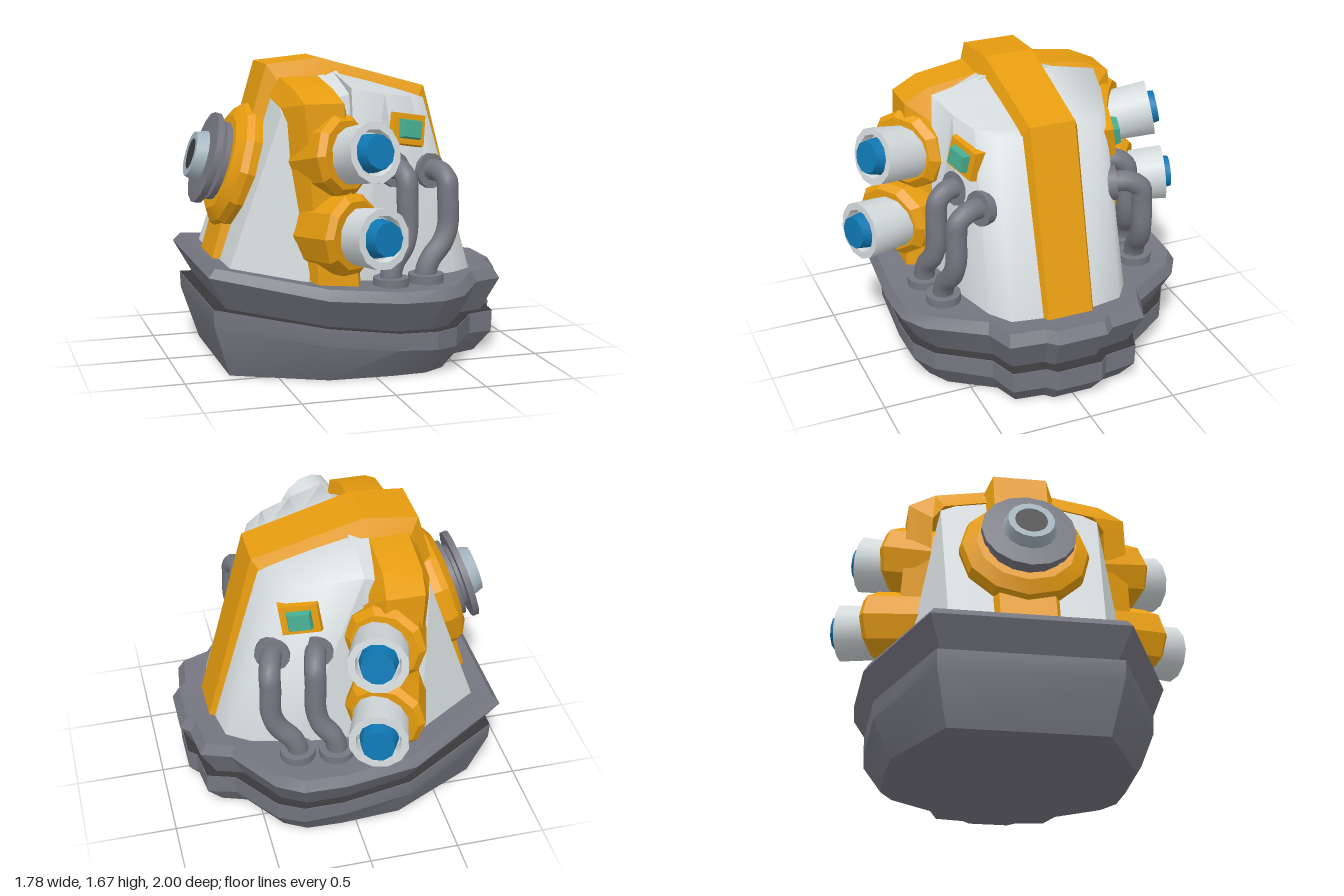
import * as THREE from 'three';
import { toCreasedNormals } from 'three/addons/utils/BufferGeometryUtils.js';
import { ConvexGeometry } from 'three/addons/geometries/ConvexGeometry.js';

const mat = (name, color) => {
  const m = new THREE.MeshStandardMaterial({ color });
  m.name = name;
  return m;
};
const Y = new THREE.Vector3(0, 1, 0);

export function createModel() {
  const root = new THREE.Group();
  root.name = 'turretPod';
  const orange = mat('orange paint', 0xe69c0f);
  const white = mat('pale grey plate', 0xd4dadc);
  const grey = mat('dark grey metal', 0x767681);
  const blue = mat('blue lens', 0x0f78b4);
  const green = mat('green glass', 0x46ad90);
  const steel = mat('blue grey steel', 0xa3b3bd);
  const dark = mat('dark recess', 0x3a3a3c);

  const add = (name, geo, material, parent = root) => {
    const m = new THREE.Mesh(geo, material);
    m.name = name;
    parent.add(m);
    return m;
  };
  // group whose local +y points along dir
  const aim = (name, pos, dir) => {
    const g = new THREE.Group();
    g.name = name;
    g.position.set(...pos);
    g.quaternion.setFromUnitVectors(Y, new THREE.Vector3(...dir).normalize());
    root.add(g);
    return g;
  };
  const lathe = (pts, sides, crease = 0.75) =>
    toCreasedNormals(new THREE.LatheGeometry(pts.map(p => new THREE.Vector2(...p)), sides), crease);

  // skin a row of rings; end caps join each ring's mirrored halves
  const loft = (rings, crease = 0.3) => {
    const n = rings[0].length, last = (rings.length - 1) * n, idx = [], v = rings.flat();
    const quad = (a, b, c, d) => idx.push(a, b, c, a, c, d);
    for (let r = 0; r < last; r += n)
      for (let i = 0; i < n; i++) {
        const j = (i + 1) % n;
        quad(r + i, r + j, r + n + j, r + n + i);
      }
    for (let i = 0; i < n / 2 - 1; i++) {
      quad(i + 1, i, n - 1 - i, n - 2 - i);
      quad(last + i, last + i + 1, last + n - 2 - i, last + n - 1 - i);
    }
    // make the faces point outward
    let vol = 0;
    const P = v.map(p => new THREE.Vector3(...p));
    for (let i = 0; i < idx.length; i += 3)
      vol += P[idx[i]].dot(P[idx[i + 1]].clone().cross(P[idx[i + 2]]));
    if (vol < 0) idx.reverse();
    const g = new THREE.BufferGeometry();
    g.setAttribute('position', new THREE.Float32BufferAttribute(v.flat(), 3));
    g.setIndex(idx);
    return toCreasedNormals(g, crease);
  };
  const mirrorZ = half => [...half, ...half.slice().reverse().map(([x, y, z]) => [x, y, -z])];

  // hull: one plan outline, scaled and set on sloping levels
  const outline = [[-0.868, 0.515], [-0.3, 0.81], [0.1, 0.835], [0.33, 0.825], [0.47, 0.74],
    [0.66, 0.45], [0.82, 0.39], [0.845, 0.19], [0.893, 0.14]];
  const slope = (x, ys) => {
    const xs = [-0.868, -0.3, 0.1, 0.893];
    const i = x < xs[1] ? 0 : x < xs[2] ? 1 : 2;
    return THREE.MathUtils.mapLinear(x, xs[i], xs[i + 1], ys[i], ys[i + 1]);
  };
  const level = (sx, sz, ys) => mirrorZ(outline.map(([x, z]) => [x * sx, slope(x, ys), z * sz]));
  add('lowerHull', loft([
    level(0.855, 0.81, [0, 0, 0, 0]),
    level(0.96, 0.93, [0.29, 0.21, 0.165, 0.11]),
    level(0.965, 0.935, [0.383, 0.308, 0.258, 0.233]),
  ], 0.43), grey);
  add('hullGap', loft([
    level(0.96, 0.93, [0.381, 0.306, 0.256, 0.231]),
    level(0.96, 0.93, [0.387, 0.312, 0.262, 0.237]),
  ]), dark);
  add('upperHull', loft([
    level(0.88, 0.87, [0.375, 0.29, 0.245, 0.225]),
    level(1, 1.01, [0.565, 0.47, 0.435, 0.427]),
    level(0.955, 0.97, [0.61, 0.525, 0.49, 0.49]),
    level(0.88, 0.88, [0.59, 0.515, 0.485, 0.48]),
  ], 0.43), grey);

  // rear body with flat slanted plates
  const rear = [[-0.77, 0.48, 0.41], [-0.45, 1.4, 0.44], [-0.42, 1.54, 0.16], [-0.07, 1.6, 0.16],
    [-0.05, 1.5, 0.43], [0, 0.45, 0.48], [-0.38, 0.45, 0.61]];
  add('rearBody', toCreasedNormals(new ConvexGeometry(
    mirrorZ(rear).map(p => new THREE.Vector3(...p))), 0.2), white);

  // rounded front body
  add('frontBody', loft([
    mirrorZ([[-0.04, 0.45, 0.52], [0.3, 0.45, 0.475], [0.55, 0.45, 0.405], [0.67, 0.45, 0.32], [0.7, 0.45, 0.15]]),
    mirrorZ([[-0.08, 1.53, 0.48], [0.12, 1.49, 0.435], [0.29, 1.465, 0.375], [0.39, 1.45, 0.29], [0.42, 1.44, 0.15]]),
    mirrorZ([[-0.09, 1.59, 0.18], [0.12, 1.535, 0.18], [0.29, 1.485, 0.18], [0.37, 1.46, 0.16], [0.4, 1.45, 0.1]]),
  ], 1.3), white);

  // centre band: outer x, y, half width, then inner x, y, half width
  add('centreBand', loft([
    [-0.8, 0.5, 0.15, -0.72, 0.48, 0.2],
    [-0.46, 1.64, 0.15, -0.4, 1.54, 0.2],
    [-0.16, 1.67, 0.14, -0.15, 1.58, 0.19],
    [0.45, 1.5, 0.128, 0.4, 1.43, 0.168],
    [0.73, 0.45, 0.128, 0.66, 0.45, 0.168],
  ].map(([x, y, w, u, v, b]) => [[u, v, b], [x, y, w], [x, y, -w], [u, v, -b]])), orange);

  // cross rib: outer y, z, inner y, z, left x, right x
  const rib = [[1.6, 0, 1.5, 0, -0.46, -0.12], [1.53, 0.465, 1.43, 0.42, -0.45, -0.12],
    [1.465, 0.61, 1.36, 0.48, -0.43, -0.1], [0.47, 0.66, 0.47, 0.5, -0.37, -0.03]];
  const ribRing = ([y, z, v, w, l, r], s) =>
    [[l, v, w * s], [l + 0.06, y, z * s], [r - 0.06, y, z * s], [r, v, w * s]];
  add('crossRib', loft([
    ...rib.slice(1).reverse().map(p => ribRing(p, -1)), ...rib.map(p => ribRing(p, 1)),
  ]), orange);

  // rear thruster on the sloping back
  const thruster = aim('rearThruster', [-0.625, 1.08, 0], [-0.957, 0.289, 0]);
  add('thrusterMount', lathe([[0.34, -0.1], [0.355, -0.01], [0.34, 0.03], [0.27, 0.07], [0, 0.07]], 12, 0.3), orange, thruster);
  add('thrusterDisc', lathe([[0.22, 0.05], [0.22, 0.1], [0.18, 0.11], [0.18, 0.13], [0.255, 0.13],
    [0.255, 0.165], [0.15, 0.175], [0, 0.175]], 16), grey, thruster);
  add('thrusterNozzle', lathe([[0.15, 0.16], [0.125, 0.24], [0.088, 0.24], [0.086, 0.22]], 16), steel, thruster);
  add('thrusterBore', new THREE.CylinderGeometry(0.088, 0.088, 0.02, 16).translate(0, 0.226, 0), dark, thruster);

  const pipes = [
    [[0.16, 1.075, 0.4], [0.19, 1.085, 0.5], [0.205, 1.04, 0.56], [0.205, 0.95, 0.572], [0.205, 0.78, 0.575],
      [0.18, 0.69, 0.59], [0.12, 0.61, 0.61], [0.1, 0.54, 0.615], [0.1, 0.47, 0.615]],
    [[0.38, 1.05, 0.34], [0.425, 1.065, 0.46], [0.445, 1.02, 0.535], [0.445, 0.95, 0.545], [0.445, 0.78, 0.55],
      [0.41, 0.69, 0.56], [0.34, 0.61, 0.575], [0.31, 0.54, 0.58], [0.31, 0.47, 0.58]],
  ];
  // tapered block, used for the window frame and glass
  const block = (w, h, d, taper) => {
    const g = new THREE.BoxGeometry(w, h, d), p = g.attributes.position;
    for (let i = 0; i < p.count; i++)
      if (p.getY(i) > 0) p.setXYZ(i, p.getX(i) * taper, p.getY(i), p.getZ(i) * taper);
    return toCreasedNormals(g, 0.2);
  };

  for (const s of [1, -1]) {
    const side = s > 0 ? 'left' : 'right';

    // paired guns, each in a slanted socket
    for (const [name, pos, dir] of [
      ['UpperGun', [-0.06, 1.235, 0.835 * s], [0.32, 0.2, 0.92 * s]],
      ['LowerGun', [-0.045, 0.805, 0.935 * s], [0.32, 0.09, 0.94 * s]],
    ]) {
      const gun = aim(side + name, pos, dir);
      const socket = new THREE.LatheGeometry([[0.21, -0.52], [0.22, -0.25], [0.185, -0.21], [0, -0.21]]
        .map(p => new THREE.Vector2(...p)), 10);
      const p = socket.attributes.position;
      for (let i = 0; i < p.count; i++)
        if (p.getY(i) > -0.4) p.setY(i, p.getY(i) - 0.32 * p.getX(i));
      socket.translate(-0.02, 0, 0);
      add('gunSocket', toCreasedNormals(socket, 0.3), orange, gun);
      add('gunBarrel', lathe([[0.145, -0.34], [0.161, 0], [0.122, 0], [0.112, -0.05], [0, -0.05]], 12), white, gun);
      add('gunLens', toCreasedNormals(
        new THREE.CylinderGeometry(0.09, 0.105, 0.09, 10).translate(0, -0.005, 0), 0.7), blue, gun);
    }

    // side window
    const win = aim(side + 'Window', [0.245, 1.29, 0.4 * s], [0.3, 0.13, 0.93 * s]);
    win.rotateY(0.147 * s);
    add('windowFrame', block(0.24, 0.09, 0.19, 0.86), orange, win);
    add('windowGlass', block(0.155, 0.08, 0.12, 0.75).translate(0, 0.042, 0), green, win);

    // bent pipes with a flange at each end
    for (const path of pipes) {
      const pts = path.map(([x, y, z]) => new THREE.Vector3(x, y, z * s));
      add(side + 'Pipe', new THREE.TubeGeometry(new THREE.CatmullRomCurve3(pts), 40, 0.058, 12), grey);
      const flange = new THREE.CylinderGeometry(0.097, 0.097, 0.05, 14);
      const a = pts[0].clone().lerp(pts[1], 0.35);
      add('wallFlange', flange, grey, aim(side + 'WallFlange', a.toArray(), [0.35, 0.1, 0.93 * s]));
      add('deckFlange', flange, grey, aim(side + 'DeckFlange', [pts[8].x, 0.505, pts[8].z], [0, 1, 0]));
    }
  }
  return root;
}
